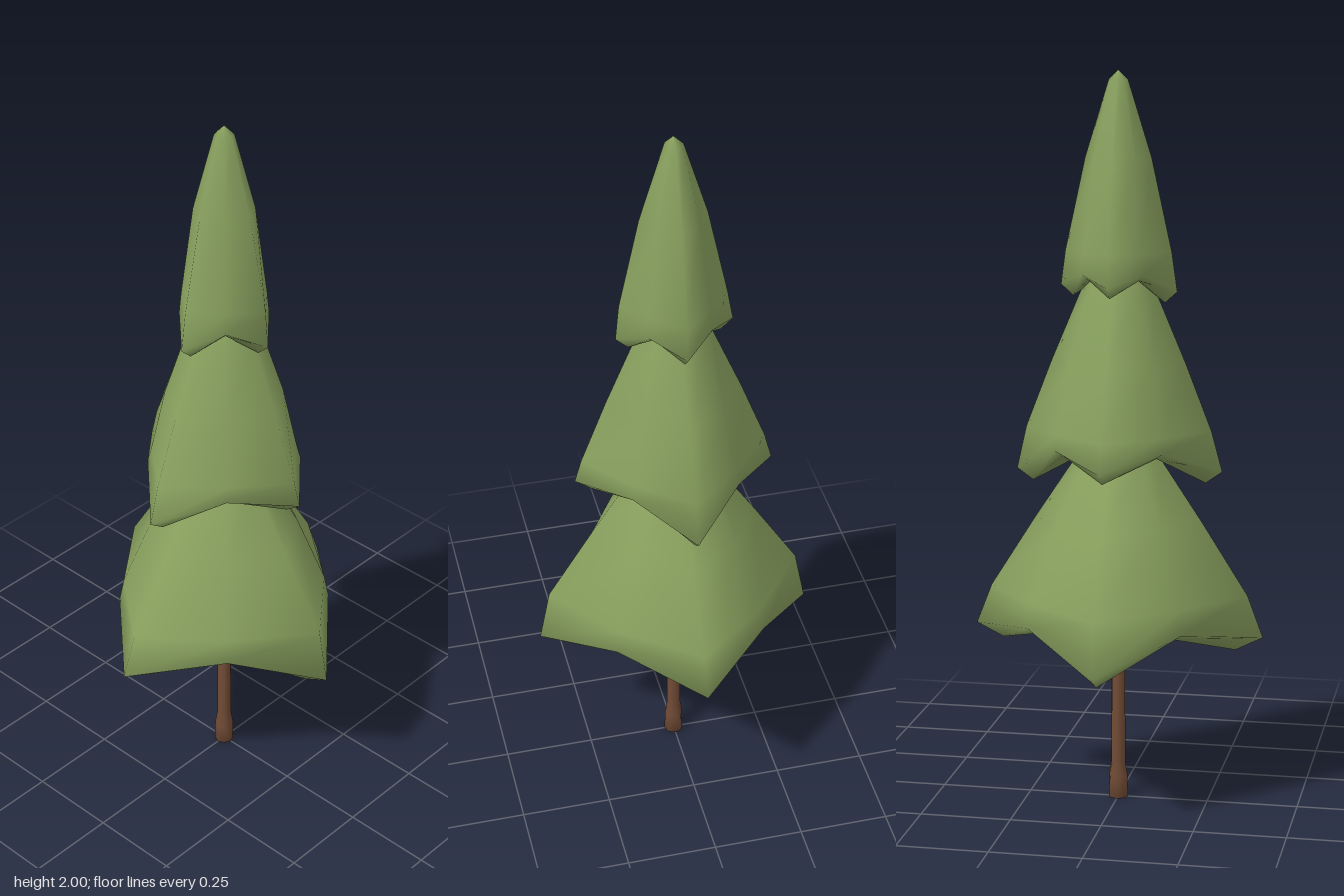
import * as THREE from 'three';

const foliage = new THREE.MeshStandardMaterial({ color: 0x88a05e, side: THREE.DoubleSide });
foliage.name = 'leaf green';
const bark = new THREE.MeshStandardMaterial({ color: 0x724c36 });
bark.name = 'bark brown';

const SIDES = 8;

// Skin through rings of eight points, listed from the tip down and round under the rim
function skin(rings) {
  const position = [], index = [];
  rings.forEach((ring) => ring.forEach((p) => position.push(...p)));
  for (let r = 0; r < rings.length - 1; r++) {
    for (let i = 0; i < SIDES; i++) {
      const j = (i + 1) % SIDES;
      const a = r * SIDES + i, b = r * SIDES + j, c = a + SIDES, d = b + SIDES;
      index.push(a, b, d, a, d, c);
    }
  }
  const geometry = new THREE.BufferGeometry();
  geometry.setAttribute('position', new THREE.Float32BufferAttribute(position, 3));
  geometry.setIndex(index);
  geometry.computeVertexNormals();
  return geometry;
}

// Ring whose even points are corners (+x, +z, -x, -z) and odd points lie between them
function ring(at) {
  return Array.from({ length: SIDES }, (_, i) => {
    const [radius, y] = at(i);
    const angle = (i * Math.PI) / 4;
    return [radius * Math.cos(angle), y, radius * Math.sin(angle)];
  });
}

// One skirt of branches: upper profile, drooping corners, raised notches, hollow underside
function tier(name, { upper, corners, notch, inset, drop, hollow }) {
  const rings = upper.map(([r, y, roundness]) =>
    ring((i) => [i % 2 ? r * roundness : r, y]));
  rings.push(ring((i) => (i % 2 ? notch : corners[i / 2])));
  rings.push(ring((i) => {
    const [r, y] = i % 2 ? notch : corners[i / 2];
    return i % 2 ? [r - inset * 0.6, y - drop * 0.5] : [r - inset, y - drop];
  }));
  rings.push(ring(() => [0, hollow]));
  const mesh = new THREE.Mesh(skin(rings), foliage);
  mesh.name = name;
  return mesh;
}

export function createModel() {
  const tree = new THREE.Group();
  tree.name = 'tree';

  // Corners are [radius, height] in the order +x, +z, -x, -z
  tree.add(tier('lowerBranches', {
    upper: [[0, 1.06, 1], [0.06, 1.04, 0.95], [0.11, 0.97, 0.93], [0.23, 0.79, 0.88], [0.357, 0.59, 0.79]],
    corners: [[0.4, 0.48], [0.387, 0.44], [0.4, 0.475], [0.387, 0.44]],
    notch: [0.295, 0.525], inset: 0.075, drop: 0.038, hollow: 0.56,
  }));
  tree.add(tier('middleBranches', {
    upper: [[0, 1.54, 1], [0.05, 1.52, 0.95], [0.1, 1.42, 0.93], [0.185, 1.22, 0.85], [0.255, 1.04, 0.77]],
    corners: [[0.282, 0.922], [0.274, 0.975], [0.285, 0.93], [0.276, 0.962]],
    notch: [0.207, 1.0], inset: 0.045, drop: 0.032, hollow: 1.02,
  }));
  tree.add(tier('upperBranches', {
    upper: [[0, 2, 1], [0.026, 1.975, 1], [0.09, 1.77, 0.88], [0.145, 1.52, 0.77]],
    corners: [[0.157, 1.43], [0.155, 1.42], [0.16, 1.415], [0.16, 1.437]],
    notch: [0.117, 1.465], inset: 0.033, drop: 0.03, hollow: 1.48,
  }));

  // Trunk with a slightly flared foot
  const profile = [[0, 0], [0.027, 0], [0.026, 0.06], [0.02, 0.1], [0.017, 0.75], [0, 0.75]]
    .map(([r, y]) => new THREE.Vector2(r, y));
  const trunk = new THREE.Mesh(new THREE.LatheGeometry(profile, SIDES), bark);
  trunk.name = 'trunk';
  tree.add(trunk);

  return tree;
}
